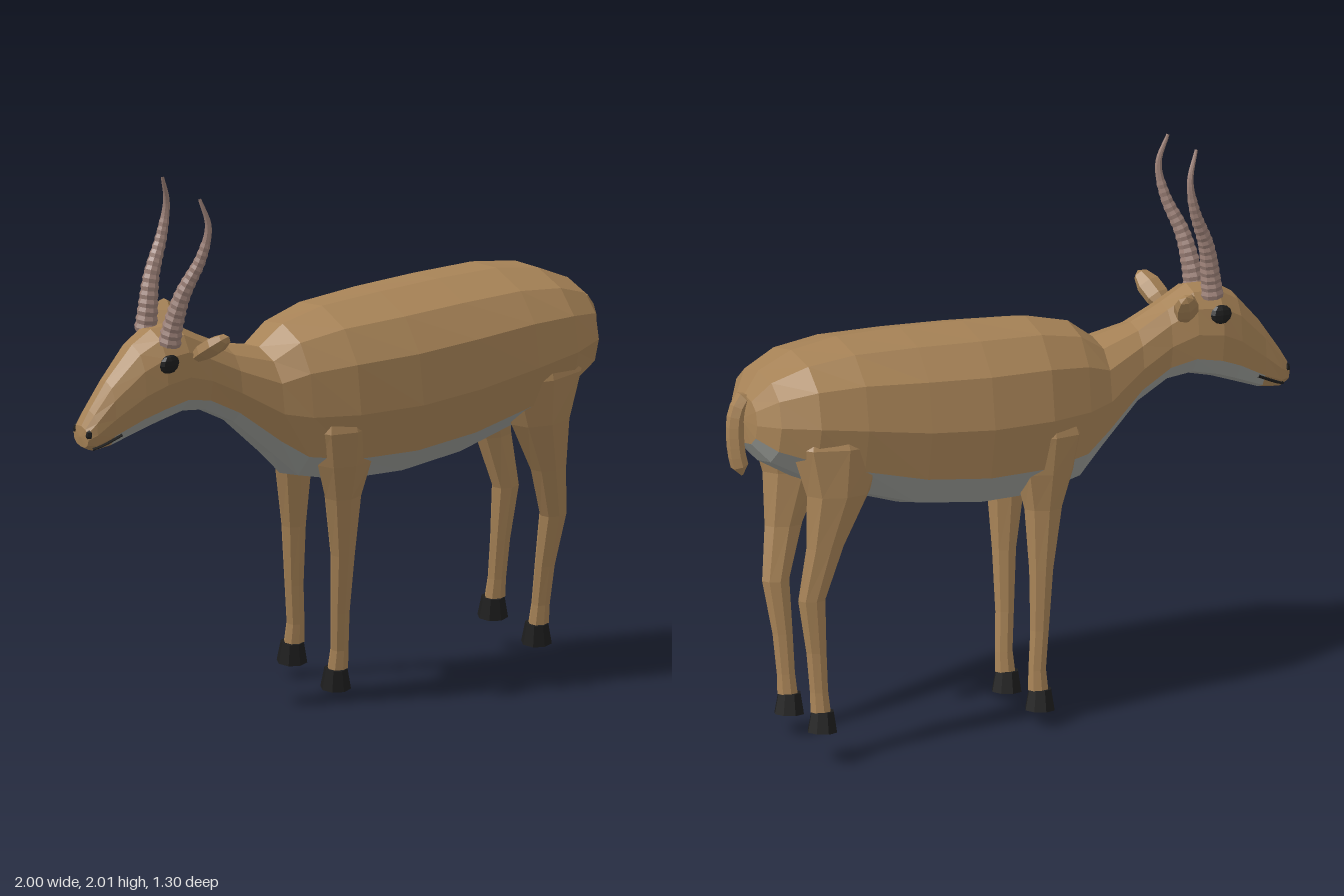
import * as THREE from 'three';

const paint = (name, color) => {
  const m = new THREE.MeshStandardMaterial({ color, flatShading: true });
  m.name = name;
  return m;
};

// Skins a row of equal-length rings; keep(i, j) selects the faces used
function loft(rings, keep = () => true) {
  const out = [];
  const tri = (a, b, c) => {
    if (a.distanceTo(b) > 1e-5 && b.distanceTo(c) > 1e-5 && c.distanceTo(a) > 1e-5)
      for (const p of [a, b, c]) out.push(p.x, p.y, p.z);
  };
  for (let i = 0; i < rings.length - 1; i++) {
    const n = rings[i].length;
    for (let j = 0; j < n; j++) {
      if (!keep(i, j)) continue;
      const k = (j + 1) % n;
      const a = rings[i][j], b = rings[i][k], c = rings[i + 1][k], d = rings[i + 1][j];
      tri(a, b, c);
      tri(a, c, d);
    }
  }
  const g = new THREE.BufferGeometry();
  g.setAttribute('position', new THREE.Float32BufferAttribute(out, 3));
  g.computeVertexNormals();
  return g;
}

const ring = (n, place) => Array.from({ length: n }, (_, j) => {
  const t = (j / n) * Math.PI * 2;
  return place(Math.cos(t), Math.sin(t));
});
const swell = v => Math.sign(v) * Math.abs(v) ** 0.85;

// Tube whose radius follows a rule along its length
function taperedTube(points, steps, sides, radius) {
  const curve = new THREE.CatmullRomCurve3(points.map(p => new THREE.Vector3(...p)));
  const g = new THREE.TubeGeometry(curve, steps, 1, sides);
  const pos = g.attributes.position, v = new THREE.Vector3();
  for (let k = 0; k < pos.count; k++) {
    const i = Math.floor(k / (sides + 1));
    const c = curve.getPointAt(i / steps);
    v.fromBufferAttribute(pos, k).sub(c).multiplyScalar(radius(i / steps, i)).add(c);
    pos.setXYZ(k, v.x, v.y, v.z);
  }
  g.computeVertexNormals();
  return g;
}

export function createModel() {
  const coat = paint('brown coat', 0xa68256);
  const under = paint('grey underside', 0x999b96);
  const black = paint('black', 0x1d1d1d);
  const horn = paint('horn', 0x9a7f76);

  const model = new THREE.Group();
  model.name = 'antelope';
  const animal = new THREE.Group();
  animal.name = 'animal';
  model.add(animal);
  const add = (name, geometry, material) => {
    const m = new THREE.Mesh(geometry, material);
    m.name = name;
    animal.add(m);
    return m;
  };

  // Body, neck and head stations from rump to nose: z, top, bottom, half width
  const stations = [
    [-1.125, 1.16, 1.16, 0], [-1.115, 1.25, 1.07, 0.12], [-1.06, 1.335, 1.0, 0.215],
    [-0.93, 1.4, 0.93, 0.28], [-0.75, 1.435, 0.86, 0.3], [-0.5, 1.445, 0.79, 0.305],
    [-0.25, 1.445, 0.765, 0.305], [0, 1.44, 0.775, 0.275], [0.17, 1.405, 0.82, 0.22],
    [0.27, 1.335, 0.93, 0.18], [0.42, 1.375, 1.08, 0.128], [0.54, 1.44, 1.15, 0.112],
    [0.64, 1.5, 1.165, 0.122], [0.74, 1.5, 1.145, 0.125], [0.82, 1.455, 1.12, 0.105],
    [0.93, 1.335, 1.085, 0.075], [1.0, 1.235, 1.08, 0.062], [1.033, 1.18, 1.1, 0.05],
    [1.037, 1.14, 1.14, 0],
  ];
  const rings = stations.map(([z, top, bottom, w]) => ring(12, (c, s) =>
    new THREE.Vector3(w * swell(c), (top + bottom) / 2 + (top - bottom) / 2 * swell(s), z)));
  // Grey runs from under the tail to the chin, narrow between the thighs
  const isUnder = (i, j) => {
    const reach = i === 3 ? 1 : 2;
    return i > 0 && i < 15 && j >= 9 - reach && j < 9 + reach;
  };
  add('body', loft(rings, (i, j) => !isUnder(i, j)), coat);
  add('underside', loft(rings, isUnder), under);

  // Tail
  add('tail', taperedTube(
    [[0, 1.2, -1.06], [0, 1.24, -1.11], [0, 1.18, -1.145], [0, 1.05, -1.145], [0, 0.95, -1.12]],
    10, 6, t => (t === 1 ? 0.004 : 0.033)), coat);

  // Leg sections from the top down: y, x, z, half width, half depth
  const frontLeg = [
    [1.25, 0.14, 0.02, 0.05, 0.07], [1.04, 0.185, 0.01, 0.085, 0.14], [0.9, 0.175, 0.005, 0.078, 0.115],
    [0.76, 0.167, 0.005, 0.058, 0.075], [0.53, 0.165, 0, 0.042, 0.048],
    [0.3, 0.155, 0, 0.033, 0.037], [0.15, 0.148, -0.005, 0.031, 0.035], [0.075, 0.147, 0, 0.035, 0.04],
  ];
  const hindLeg = [
    [1.3, 0.13, -0.83, 0.07, 0.1], [1.08, 0.19, -0.82, 0.1, 0.19], [0.9, 0.197, -0.825, 0.08, 0.125],
    [0.7, 0.185, -0.87, 0.053, 0.075], [0.5, 0.16, -0.91, 0.044, 0.054], [0.3, 0.15, -0.885, 0.033, 0.04],
    [0.15, 0.147, -0.872, 0.031, 0.036], [0.075, 0.147, -0.865, 0.035, 0.04],
  ];

  for (const side of [1, -1]) {
    const label = side > 0 ? 'left' : 'right';

    // Legs and hooves
    for (const [name, rows] of [['FrontLeg', frontLeg], ['HindLeg', hindLeg]]) {
      add(label + name, loft(rows.map(([y, x, z, w, d]) => ring(8, (c, s) =>
        new THREE.Vector3(side * x + w * c, y, z + d * s)))), coat);
      const [, x, z] = rows[rows.length - 1];
      const hoof = add(label + name + 'Hoof', new THREE.CylinderGeometry(0.043, 0.057, 0.077, 8), black);
      hoof.position.set(side * x, 0.0385, z + 0.008);
    }

    // Ringed horn
    add(label + 'Horn', taperedTube(
      [[0.08, 1.46, 0.71], [0.085, 1.53, 0.7], [0.106, 1.66, 0.672], [0.133, 1.8, 0.613],
        [0.141, 1.92, 0.59], [0.125, 2.03, 0.62]].map(([x, y, z]) => [side * x, y, z]),
      40, 8, (t, i) => (0.034 * (1 - t) + 0.006) * (t < 0.7 && i % 2 ? 1.12 : 1)), horn);

    // Ear
    const ear = add(label + 'Ear', new THREE.SphereGeometry(1, 6, 5), coat);
    ear.scale.set(0.034, 0.095, 0.05);
    ear.position.set(side * 0.15, 1.445, 0.575);
    ear.quaternion.setFromUnitVectors(new THREE.Vector3(0, 1, 0),
      new THREE.Vector3(side * 0.11, 0.1, -0.05).normalize());

    // Eye
    const eye = add(label + 'Eye', new THREE.SphereGeometry(0.038, 8, 6), black);
    eye.scale.set(0.5, 0.95, 1.1);
    eye.position.set(side * 0.115, 1.4, 0.73);

    // Nostril and mouth line
    const nostril = add(label + 'Nostril', new THREE.SphereGeometry(0.022, 6, 4), black);
    nostril.scale.set(0.6, 1, 0.7);
    nostril.position.set(side * 0.042, 1.155, 1.023);
    add(label + 'Mouth', taperedTube(
      [[0.044, 1.1, 1.01], [0.056, 1.113, 0.97], [0.069, 1.143, 0.9]].map(([x, y, z]) => [side * x, y, z]),
      4, 5, () => 0.006), black);
  }

  // Turned and slightly rolled stance
  animal.rotation.set(0.169, -1.097, 0);
  animal.position.set(-0.046, 0.03, -0.085);
  return model;
}
